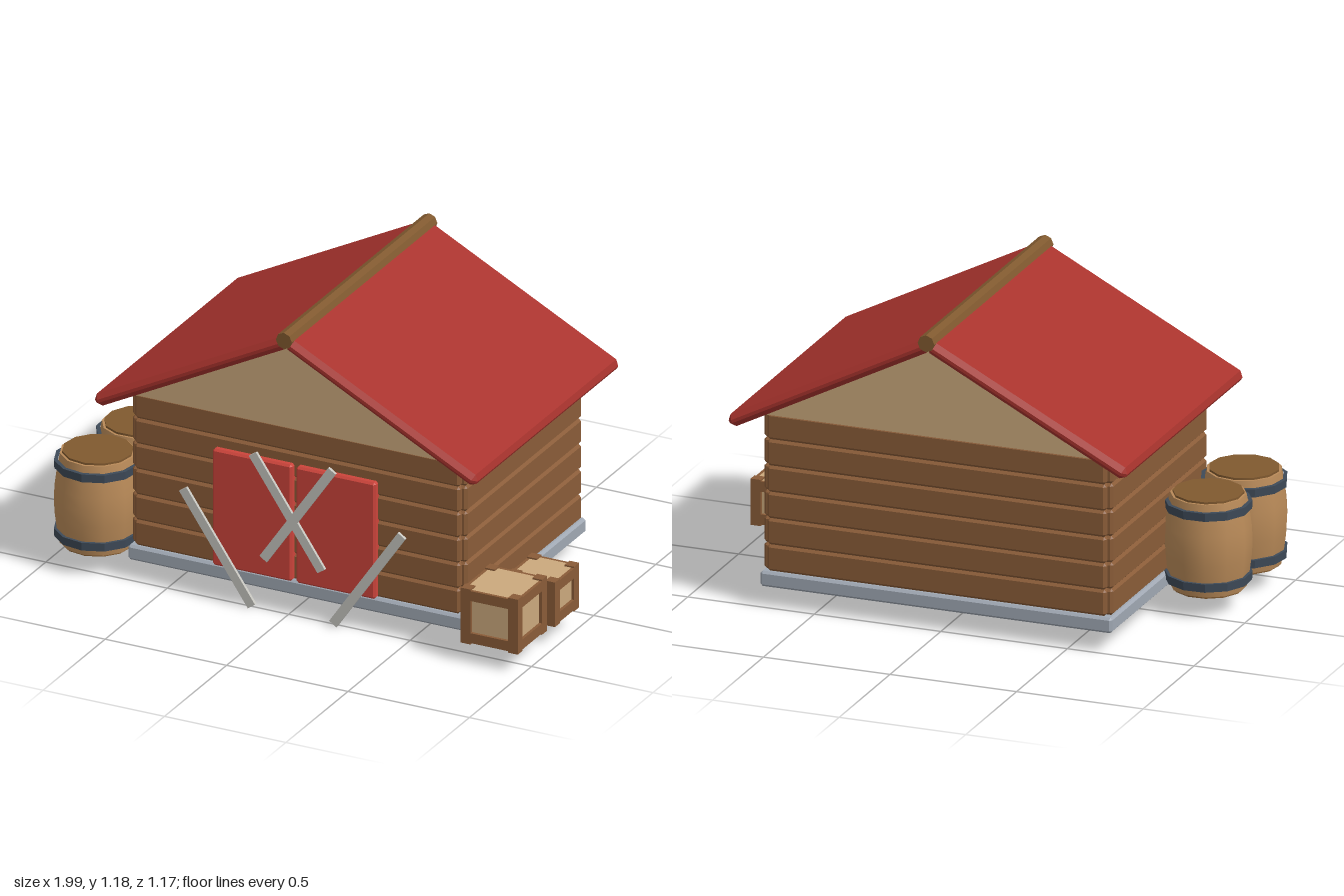
import * as THREE from 'three';
import { ConvexGeometry } from 'three/addons/geometries/ConvexGeometry.js';

const material = (name, color) => {
  const m = new THREE.MeshStandardMaterial({ color });
  m.name = name;
  return m;
};

// Box with chamfered edges, flat faces
function chamferBox(w, h, d, b) {
  const points = [];
  const [x, y, z] = [w / 2, h / 2, d / 2];
  for (const i of [-1, 1]) for (const j of [-1, 1]) for (const k of [-1, 1]) {
    points.push(
      new THREE.Vector3(i * x, j * (y - b), k * (z - b)),
      new THREE.Vector3(i * (x - b), j * y, k * (z - b)),
      new THREE.Vector3(i * (x - b), j * (y - b), k * z));
  }
  return new ConvexGeometry(points);
}

export function createModel() {
  const mats = {
    wood: material('wall wood', 0x8a5c38),
    tan: material('pale wood', 0xcba97d),
    roof: material('roof red', 0xa8332d),
    door: material('door red', 0xcc443b),
    stone: material('foundation stone', 0xa0a8b3),
    dark: material('ridge wood', 0x80592f),
    stave: material('barrel wood', 0xb98a58),
    iron: material('iron band', 0x3e4a58),
    plank: material('weathered plank', 0xc6c5bf),
  };
  const model = new THREE.Group();
  model.name = 'barn';

  const add = (parent, name, geometry, mat, x = 0, y = 0, z = 0) => {
    const mesh = new THREE.Mesh(geometry, mat);
    mesh.name = name;
    mesh.position.set(x, y, z);
    parent.add(mesh);
    return mesh;
  };

  const house = new THREE.Group();
  house.name = 'house';
  house.position.x = 0.025;
  model.add(house);

  // Foundation slab
  add(house, 'foundation', chamferBox(1.39, 0.06, 0.98, 0.009), mats.stone, 0, 0.108, 0);

  // Plank walls, six courses
  const course = 0.1025;
  const longPlank = chamferBox(1.34, course, 0.06, 0.01);
  const sidePlank = chamferBox(0.06, course, 0.93, 0.01);
  for (let i = 0; i < 6; i++) {
    const y = 0.14 + course * (i + 0.5);
    for (const s of [-1, 1]) {
      add(house, s > 0 ? 'frontPlank' : 'backPlank', longPlank, mats.wood, 0, y, s * 0.455);
      add(house, s > 0 ? 'leftPlank' : 'rightPlank', sidePlank, mats.wood, s * 0.66, y, 0);
    }
  }

  // Gable prism under the roof
  const triangle = new THREE.Shape([
    new THREE.Vector2(-0.69, 0.755), new THREE.Vector2(0.69, 0.755), new THREE.Vector2(0, 1.113)]);
  add(house, 'gable', new THREE.ExtrudeGeometry(triangle, { depth: 1.0, bevelEnabled: false }),
    mats.tan, 0, 0, -0.5);

  // Sloping roof slabs
  const reach = 0.785, drop = reach * 0.515;
  const slab = chamferBox(Math.hypot(reach, drop), 0.05, 1.17, 0.019);
  for (const s of [-1, 1]) {
    const panel = add(house, s > 0 ? 'leftRoof' : 'rightRoof', slab, mats.roof,
      s * reach / 2, 1.137 - drop / 2, 0.002);
    panel.rotation.z = -s * Math.atan2(drop, reach);
  }

  // Ridge beam
  const ridge = new THREE.CylinderGeometry(0.033, 0.033, 1.172, 8).toNonIndexed();
  ridge.computeVertexNormals();
  add(house, 'ridgeBeam', ridge, mats.dark, 0, 1.148, 0.002).rotation.x = Math.PI / 2;

  // Double doors
  const door = chamferBox(0.327, 0.47, 0.04, 0.008);
  for (const s of [-1, 1]) add(house, s > 0 ? 'leftDoor' : 'rightDoor', door, mats.door, s * 0.172, 0.375, 0.49);

  // Crossed and leaning boards in front of the doors
  const board = new THREE.BoxGeometry(0.036, 0.502, 0.012);
  const tilt = Math.atan2(0.284, 0.416);
  for (const s of [-1, 1]) {
    add(house, 'crossBoard', board, mats.plank, s * 0.022, 0.422, 0.516).rotation.z = -s * tilt;
    add(house, 'leaningBoard', board, mats.plank, s * 0.309, 0.22, 0.516).rotation.z = -s * tilt;
  }

  // Barrels with lids and iron bands
  const lathe = (pts) => new THREE.LatheGeometry(pts.map(([r, y]) => new THREE.Vector2(r, y)), 12);
  const body = lathe([[0.141, 0.008], [0.151, 0.06], [0.16, 0.13], [0.163, 0.188],
    [0.16, 0.245], [0.151, 0.315], [0.141, 0.368]]);
  const band = lathe([[0.145, 0.034], [0.161, 0.034], [0.163, 0.066], [0.148, 0.066]]).toNonIndexed();
  band.computeVertexNormals();
  const lid = new THREE.CylinderGeometry(0.132, 0.132, 0.376, 12);
  const rim = new THREE.RingGeometry(0.125, 0.141, 12);
  for (const [x, z, turn] of [[-0.835, 0.405, 0.1], [-0.81, 0.115, 0.3]]) {
    const barrel = new THREE.Group();
    barrel.name = 'barrel';
    barrel.position.set(x, 0.08, z);
    barrel.rotation.y = turn;
    add(barrel, 'staves', body, mats.stave);
    add(barrel, 'lids', lid, mats.dark, 0, 0.188, 0);
    // Turn the ring so its corners meet the staves
    const top = add(barrel, 'topRim', rim, mats.stave, 0, 0.368, 0);
    top.rotation.x = -Math.PI / 2;
    const bottom = add(barrel, 'bottomRim', rim, mats.stave, 0, 0.008, 0);
    bottom.rotation.x = Math.PI / 2;
    add(barrel, 'lowerBand', band, mats.iron);
    add(barrel, 'upperBand', band, mats.iron, 0, 0.376, 0).scale.y = 1;
    barrel.children[barrel.children.length - 1].position.y = 0.276;
    model.add(barrel);
  }

  // Crates: pale core with a framed plate on each side
  for (const [x, z, w, h] of [[0.867, 0.463, 0.235, 0.222], [0.899, 0.207, 0.195, 0.18]]) {
    const crate = new THREE.Group();
    crate.name = 'crate';
    crate.position.set(x, 0.08 + h / 2, z);
    const t = 0.012, f = 0.04;
    add(crate, 'panels', new THREE.BoxGeometry(w - 2 * t, h - 0.012, w - 2 * t), mats.tan);
    const post = new THREE.BoxGeometry(f, h, f);
    const rail = new THREE.BoxGeometry(w - 2 * f, f, t);
    for (let i = 0; i < 4; i++) {
      const side = new THREE.Group();
      side.name = 'crateSide';
      side.rotation.y = i * Math.PI / 2;
      add(side, 'post', post, mats.wood, (w - f) / 2, 0, (w - f) / 2);
      for (const s of [-1, 1]) add(side, 'rail', rail, mats.wood, 0, s * (h / 2 - f / 2 - 0.006), (w - t) / 2);
      crate.add(side);
    }
    model.add(crate);
  }

  return model;
}
